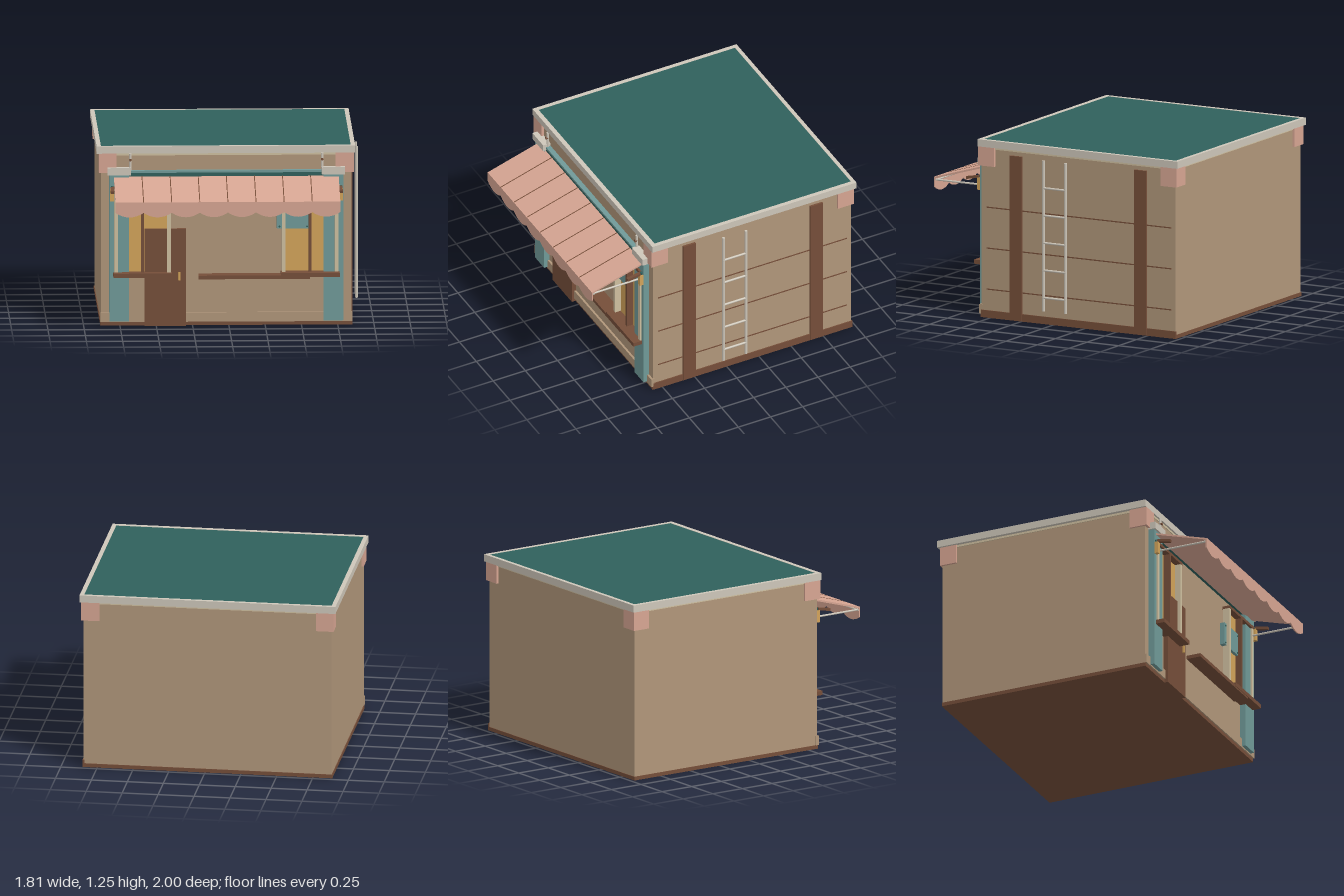
import * as THREE from 'three';

const mat = (name, color) => {
  const m = new THREE.MeshStandardMaterial({ color });
  m.name = name;
  return m;
};

export function createModel() {
  const wall = mat('tanWall', 0xb0967a);
  const wood = mat('brownWood', 0x754e39);
  const teal = mat('paleTeal', 0x709a98);
  const roofGreen = mat('deepTeal', 0x2f605c);
  const pink = mat('pinkCloth', 0xd6a592);
  const stone = mat('paleStone', 0xcdc6b9);
  const cream = mat('cream', 0xcfc0a0);
  const ochre = mat('ochre', 0xd2a35a);

  const model = new THREE.Group();
  const add = (name, geo, m, parent = model) => {
    const mesh = new THREE.Mesh(geo, m);
    mesh.name = name;
    parent.add(mesh);
    return mesh;
  };
  // box given by its limits on each axis
  const box = (name, m, x0, x1, y0, y1, z0, z1, parent = model) => {
    const mesh = add(name, new THREE.BoxGeometry(x1 - x0, y1 - y0, z1 - z0), m, parent);
    mesh.position.set((x0 + x1) / 2, (y0 + y1) / 2, (z0 + z1) / 2);
    return mesh;
  };
  // round bar between two points
  const rod = (name, m, a, b, r, parent = model) => {
    const p = new THREE.Vector3(...a), q = new THREE.Vector3(...b);
    const mesh = add(name, new THREE.CylinderGeometry(r, r, p.distanceTo(q), 10), m, parent);
    mesh.position.copy(p).add(q).multiplyScalar(0.5);
    mesh.quaternion.setFromUnitVectors(new THREE.Vector3(0, 1, 0), q.sub(p).normalize());
    return mesh;
  };
  const CX = -0.018; // middle of the shop front

  // main block, base band and front plinth
  box('walls', wall, -0.88, 0.845, 0.025, 1.2, -0.97, 0.57);
  box('base', wood, -0.885, 0.85, 0, 0.026, -0.975, 0.575);
  box('sideBaseBoard', wood, 0.84, 0.852, 0, 0.052, -0.975, 0.57);
  box('frontPlinth', wall, -0.885, 0.85, 0.025, 0.09, 0.56, 0.585);
  box('underTrim', cream, -0.885, 0.85, 1.185, 1.2, -0.975, 0.575);

  // flat roof with raised edge
  const edge = new THREE.Group();
  edge.name = 'roofEdge';
  model.add(edge);
  box('frontEdge', stone, -0.91, 0.87, 1.2, 1.25, 0.555, 0.588, edge);
  box('backEdge', stone, -0.91, 0.87, 1.2, 1.25, -0.998, -0.97, edge);
  box('rightEdge', stone, -0.91, -0.88, 1.2, 1.25, -0.97, 0.555, edge);
  box('leftEdge', stone, 0.84, 0.87, 1.2, 1.25, -0.97, 0.555, edge);
  box('roof', roofGreen, -0.88, 0.84, 1.2, 1.248, -0.97, 0.555);

  // corner blocks
  for (const [x0, x1] of [[-0.895, -0.773], [0.735, 0.86]])
    for (const [z0, z1] of [[-0.985, -0.86], [0.46, 0.588]])
      box('cornerBlock', pink, x0, x1, 1.065, 1.2, z0, z1);

  // pilasters with caps, small hangers above and lanterns beside
  for (const s of [-1, 1]) {
    const px = CX + s * 0.737;
    box('pilaster', teal, px - 0.068, px + 0.068, 0.035, 1.06, 0.56, 0.613);
    box('pilasterCap', stone, px - 0.08, px + 0.08, 1.055, 1.105, 0.56, 0.627);
    const hx = CX + s * 0.66;
    rod('hanger', stone, [hx, 1.08, 0.59], [hx, 1.2, 0.59], 0.009);
    rod('hangerKnob', wood, [hx, 1.157, 0.59], [hx, 1.157, 0.606], 0.009);
    const lx = CX + s * 0.787;
    box('lantern', ochre, lx - 0.014, lx + 0.014, 0.875, 0.96, 0.605, 0.64);
    box('lanternCap', wood, lx - 0.012, lx + 0.012, 0.95, 0.968, 0.63, 0.73).rotation.x = 0.18;
    rod('lanternPin', roofGreen, [lx, 0.96, 0.62], [lx, 0.978, 0.62], 0.009);
  }
  box('signBeam', roofGreen, -0.79, 0.755, 1.035, 1.068, 0.56, 0.6);
  box('signBeamTop', teal, -0.69, 0.655, 1.068, 1.083, 0.56, 0.606);

  // two serving windows
  for (const s of [-1, 1]) {
    const win = new THREE.Group();
    win.name = s < 0 ? 'rightWindow' : 'leftWindow';
    model.add(win);
    const wx = CX + s * 0.577;
    box('pane', ochre, wx - 0.18, wx + 0.18, 0.375, 0.955, 0.565, 0.582, win);
    for (const d of [-0.182, 0.182])
      box('windowPost', cream, wx + d - 0.013, wx + d + 0.013, 0.375, 0.955, 0.575, 0.625, win);
    box('mullion', wood, wx - 0.01, wx + 0.01, 0.375, 0.96, 0.575, 0.628, win);
    box('windowHead', wood, wx - 0.195, wx + 0.195, 0.955, 0.975, 0.565, 0.628, win);
    box('windowSill', wood, wx - 0.202, wx + 0.202, 0.348, 0.377, 0.565, 0.678, win);
  }

  // door, handle, counter shelf and notice plate
  box('door', wood, -0.58, -0.295, 0, 0.675, 0.56, 0.603);
  box('doorHandle', ochre, -0.349, -0.335, 0.32, 0.376, 0.6, 0.618);
  box('counterShelf', wood, -0.21, 0.555, 0.335, 0.36, 0.565, 0.675);
  box('noticePlate', teal, 0.33, 0.552, 0.675, 0.837, 0.565, 0.603);
  for (const x of [0.348, 0.538])
    for (const y of [0.69, 0.818])
      rod('plateScrew', roofGreen, [x, y, 0.6], [x, y, 0.607], 0.006);

  // sloping awning with seams and scalloped valance
  const awning = new THREE.Group();
  awning.name = 'awning';
  model.add(awning);
  const ax0 = -0.792, ax1 = 0.756, panels = 8, w = (ax1 - ax0) / panels;
  const slope = Math.atan2(0.118, 0.4), len = Math.hypot(0.118, 0.4);
  const top = new THREE.Group();
  top.name = 'awningTop';
  top.position.set(0, 0.978, 0.795);
  top.rotation.x = slope;
  awning.add(top);
  box('awningCloth', pink, ax0, ax1, -0.006, 0.006, -len / 2, len / 2, top);
  for (let i = 1; i < panels; i++)
    box('awningSeam', wood, ax0 + i * w - 0.003, ax0 + i * w + 0.003, 0, 0.008, -len / 2, len / 2, top);
  const valance = new THREE.Shape();
  valance.moveTo(ax0, 0.926);
  valance.lineTo(ax0, 0.853);
  for (let i = 0; i < panels; i++)
    valance.quadraticCurveTo(ax0 + (i + 0.5) * w, 0.79, ax0 + (i + 1) * w, 0.853);
  valance.lineTo(ax1, 0.926);
  const cloth = new THREE.ExtrudeGeometry(valance, { depth: 0.01, bevelEnabled: false, curveSegments: 8 });
  add('valance', cloth, pink, awning).position.z = 0.988;
  for (const x of [ax0 + 0.012, ax1 - 0.012])
    rod('awningArm', stone, [x, 0.905, 0.6], [x, 0.905, 0.988], 0.007, awning);
  rod('awningBar', stone, [ax0, 0.905, 0.982], [ax1, 0.905, 0.982], 0.006, awning);

  // side boards and grooves on the ladder wall
  for (const z of [0.292, -0.695])
    box('sideBoard', wood, 0.84, 0.859, 0.005, 1.157, z - 0.048, z + 0.048);
  for (const y of [0.2, 0.488, 0.775])
    box('sideGroove', wood, 0.84, 0.848, y - 0.004, y + 0.004, -0.937, 0.53);

  // ladder
  const ladder = new THREE.Group();
  ladder.name = 'ladder';
  model.add(ladder);
  for (const z of [0.048, -0.126])
    rod('ladderRail', stone, [0.895, 0.1, z], [0.895, 1.157, z], 0.01, ladder);
  for (let i = 0; i < 5; i++) {
    const y = 0.195 + i * 0.1925;
    rod('rung', stone, [0.897, y, -0.13], [0.897, y, 0.053], 0.008, ladder);
  }
  return model;
}
